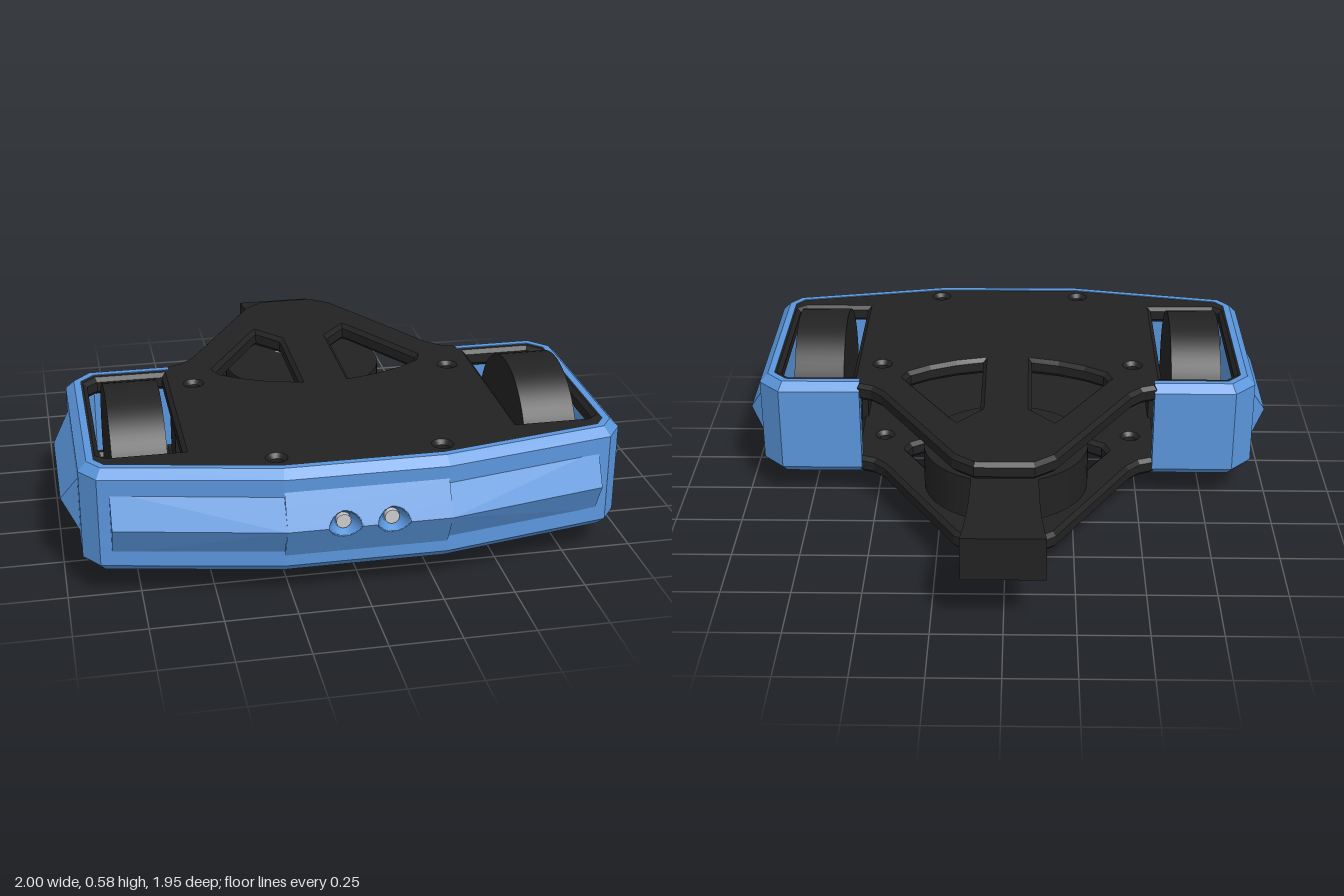
import * as THREE from 'three';
import { ConvexGeometry } from 'three/addons/geometries/ConvexGeometry.js';

const blue = new THREE.MeshStandardMaterial({ color: 0x5a96dc, flatShading: true });
const black = new THREE.MeshStandardMaterial({ color: 0x222222 });
const grey = new THREE.MeshStandardMaterial({ color: 0xcccccc });

const V = (x, y, z) => new THREE.Vector3(x, y, z);
const V2 = (x, z) => new THREE.Vector2(x, z);
// complete a right-hand [x, z] run with its mirror image
const mirrored = (half) => [...half, ...half.slice().reverse().map(([x, z]) => [-x, z])];
const MID = 0.2925; // height of wheel axles and bumper ridges
const PIVOT = -0.415;

function add(parent, name, geometry, material, x = 0, y = 0, z = 0) {
  const mesh = new THREE.Mesh(geometry, material);
  mesh.name = name;
  mesh.position.set(x, y, z);
  parent.add(mesh);
  return mesh;
}

// extrude a plan shape (x, z) downwards
function slab(shape, depth, bevel) {
  const geo = new THREE.ExtrudeGeometry(shape, {
    depth, bevelEnabled: bevel > 0, bevelSize: bevel, bevelThickness: bevel, bevelSegments: 1, curveSegments: 24,
  });
  return geo.rotateX(Math.PI / 2);
}

// open band of wall with a chamfered section, swept along a mitred path
function shellGeometry(path, section) {
  const dirs = path.slice(1).map((p, i) => V2(p[0] - path[i][0], p[1] - path[i][1]).normalize());
  const rows = path.map(([x, z], i) => {
    const a = dirs[Math.max(i - 1, 0)], b = dirs[Math.min(i, dirs.length - 1)];
    const n = V2(a.y + b.y, -a.x - b.x).normalize();
    const k = 1 / (n.x * a.y - n.y * a.x);
    return section.map(([d, y]) => V(x - n.x * d * k, y, z - n.y * d * k));
  });
  const tris = [], m = section.length, last = rows.length - 1;
  for (let i = 0; i < last; i++) {
    for (let j = 0; j < m; j++) {
      const a = rows[i][j], b = rows[i][(j + 1) % m], c = rows[i + 1][(j + 1) % m], d = rows[i + 1][j];
      tris.push(a, b, c, a, c, d);
    }
  }
  for (let j = 1; j < m - 1; j++) {
    tris.push(rows[0][0], rows[0][j + 1], rows[0][j], rows[last][0], rows[last][j], rows[last][j + 1]);
  }
  const geo = new THREE.BufferGeometry().setFromPoints(tris);
  geo.computeVertexNormals();
  return geo;
}

// chassis plate outline with windows, wheel wells and screw holes
function plateShape(withPivotHoles) {
  const outline = mirrored([
    [0.1, -0.665], [0.17, -0.61], [0.452, -0.125], [0.5, -0.075], [0.55, -0.055], [0.57, -0.02],
    [0.84, -0.02], [0.89, 0.03], [0.89, 0.7], [0.85, 0.745], [0.275, 0.858],
  ]);
  const shape = new THREE.Shape(outline.map(([x, z]) => V2(x, z)));
  const hole = (pts) => shape.holes.push(new THREE.Path(pts));
  const round = (x, z, r) => shape.holes.push(new THREE.Path().absarc(x, z, r, 0, Math.PI * 2));
  for (const s of [1, -1]) {
    const pts = (list) => list.map(([x, z]) => V2(s * x, z));
    hole(pts([[0.08, -0.26], [0.175, -0.37], [0.2, -0.34], [0.4, 0.0], [0.38, 0.055], [0.3, 0.11], [0.2, 0.155], [0.08, 0.185]]));
    hole(pts([[0.57, -0.005], [0.83, -0.005], [0.878, 0.04], [0.878, 0.66], [0.84, 0.69], [0.57, 0.69]]));
    round(s * 0.48, 0.12, 0.038);
    round(s * 0.285, 0.79, 0.038);
  }
  if (withPivotHoles) {
    round(0, PIVOT, 0.035);
    for (let i = 0; i < 4; i++) {
      const a = i * Math.PI / 2;
      round(0.1 * Math.cos(a), PIVOT + 0.1 * Math.sin(a), 0.028);
    }
  }
  return shape;
}

export function createModel() {
  const model = new THREE.Group();
  model.name = 'robotBase';

  // Outer shell, open at the back
  const path = mirrored([[0.555, -0.075], [0.86, -0.075], [0.94, 0.01], [0.94, 0.715], [0.885, 0.79], [0.28, 0.91]]);
  const section = [[0, 0.135], [0, 0.455], [0.03, 0.485], [0.055, 0.485], [0.055, 0.105], [0.03, 0.105]];
  add(model, 'outerShell', shellGeometry(path, section), blue);

  // Ridged bumpers on the sides and the angled ends of the front
  const low = 0.175, high = 0.41;
  for (const s of [1, -1]) {
    const side = [];
    const front = [];
    for (const z of [0.07, 0.65]) side.push(V(s * 0.93, low, z), V(s * 0.93, high, z));
    for (const z of [0.13, 0.58]) side.push(V(s, MID, z));
    for (const [x, base, ridge] of [[0.28, 0.9, 0.97], [0.845, 0.79, 0.852]]) {
      front.push(V(s * x, low, base), V(s * x, high, base), V(s * x, MID, ridge));
    }
    add(model, 'sideBumper', new ConvexGeometry(side), blue);
    add(model, 'frontBumperEnd', new ConvexGeometry(front), blue);
  }

  // Middle of the front bumper, with two conical recesses
  const buttons = [-0.085, 0.08];
  const face = new THREE.PlaneGeometry(0.56, high - low, 140, 60);
  const pos = face.attributes.position;
  for (let i = 0; i < pos.count; i++) {
    const x = pos.getX(i), y = pos.getY(i);
    let z = 0.97 - 0.06 * Math.abs(y) / ((high - low) / 2);
    for (const bx of buttons) {
      const d = Math.hypot(x - bx, y - 0.005);
      z = Math.min(z, 0.914 + Math.max(0, d - 0.028) * 2);
    }
    pos.setZ(i, z);
  }
  face.computeVertexNormals();
  add(model, 'frontBumperMiddle', face, blue, 0, MID, 0);
  for (const x of buttons) {
    const button = new THREE.CylinderGeometry(0.025, 0.025, 0.03, 24).rotateX(Math.PI / 2);
    add(model, 'button', button, grey, x, MID + 0.005, 0.918);
  }

  // Chassis plates
  add(model, 'topPlate', slab(plateShape(false), 0.035, 0.015), black, 0, 0.467, 0);
  add(model, 'bottomPlate', slab(plateShape(true), 0.035, 0.015), black, 0, 0.16, 0);

  // Wheels, axles and their bearing plates
  for (const s of [1, -1]) {
    const wheel = new THREE.CylinderGeometry(MID, MID, 0.19, 72).rotateZ(Math.PI / 2);
    add(model, 'wheel', wheel, black, s * 0.725, MID, 0.355);
    const axle = new THREE.CylinderGeometry(0.012, 0.012, 0.1, 16).rotateZ(Math.PI / 2);
    add(model, 'axle', axle, grey, s * 0.6, MID, 0.355);
    add(model, 'axleBearing', new THREE.BoxGeometry(0.025, 0.27, 0.15), black, s * 0.572, MID, 0.355);
  }

  // Swivelling tow arm: a round disc with a flared tongue
  const r = 0.3, cz = -0.3, neck = 0.12;
  const start = Math.asin(neck / r);
  const neckZ = cz - r * Math.cos(start);
  const arm = new THREE.Shape();
  arm.moveTo(-0.145, -0.98);
  arm.quadraticCurveTo(-neck, -0.82, -neck, neckZ);
  arm.absarc(0, cz, r, Math.PI * 1.5 - start, -Math.PI / 2 + start, true);
  arm.quadraticCurveTo(neck, -0.82, 0.145, -0.98);
  arm.closePath();
  add(model, 'towArm', slab(arm, 0.16, 0), black, 0, 0.365, 0);

  // Pivot hubs and bolts
  const disc = (name, rTop, rBottom, y0, y1, mat, x = 0, z = PIVOT) =>
    add(model, name, new THREE.CylinderGeometry(rTop, rBottom, y1 - y0, 32), mat, x, (y0 + y1) / 2, z);
  disc('upperFlange', 0.085, 0.085, 0.4, 0.425, black);
  disc('upperHub', 0.06, 0.06, 0.36, 0.4, black);
  disc('lowerFlange', 0.152, 0.152, 0.172, 0.186, grey);
  disc('lowerHub', 0.065, 0.065, 0.186, 0.206, grey);
  for (let i = 0; i < 4; i++) {
    const a = i * Math.PI / 2;
    disc('pivotBolt', 0.02, 0.025, 0.364, 0.385, grey, 0.065 * Math.cos(a), PIVOT + 0.065 * Math.sin(a));
  }
  return model;
}
